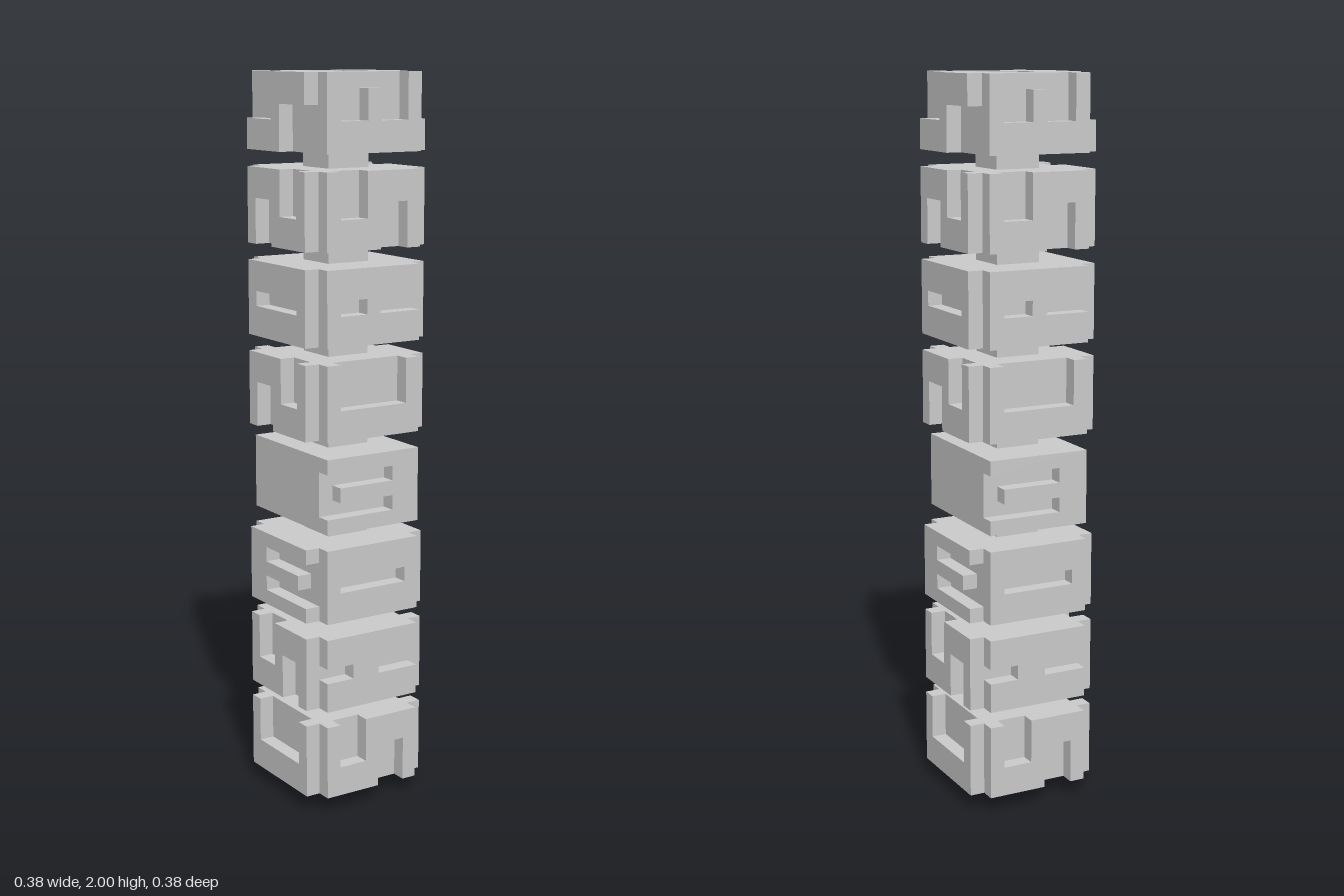
import * as THREE from 'three';

const U = 0.375 / 9;       // horizontal grid unit: relief depth and column width
const V = 0.041;           // row height, five rows per block
const PITCH = 0.25;        // block spacing
const BLOCK = 5 * V;
const NECK = PITCH - BLOCK;
const NECK_WIDTH = 0.126;

// Panel outlines on a grid: each point is a column digit (1-8) and a row digit (0-5)
const PANELS = {
  plainSlot: ['10 80 85 15', '22 72 73 23'],
  cup: ['10 80 85 75 72 22 25 15'],
  upDown: ['10 50 53 73 70 80 85 45 42 22 25 15'],
  downUp: ['10 20 23 43 40 80 85 75 72 52 55 15'],
  fork: ['10 80 85 75 72 52 54 44 42 22 25 15'],
  steps: ['10 50 53 83 85 35 33 43 42 12'],
  splitSlot: ['10 80 82 52 53 83 85 15', '22 42 43 23'],
  twinNotch: ['10 80 82 52 53 83 85 15 13 33 32 12'],
  leftComb: ['10 80 85 15 14 64 63 23 22 62 61 11'],
  rightComb: ['10 80 81 31 32 72 73 33 34 84 85 15'],
};

// Bottom to top: panel on front and back, panel on the two sides
const BLOCKS = [
  ['upDown', 'cup'],
  ['twinNotch', 'upDown'],
  ['plainSlot', 'rightComb'],
  ['leftComb', null],
  ['cup', 'downUp'],
  ['splitSlot', 'plainSlot'],
  ['upDown', 'downUp'],
  ['fork', 'steps'],
];

const material = new THREE.MeshStandardMaterial({ color: 0xcccccc, flatShading: true });

const toPoints = (text) => text.split(' ').map(
  (p) => new THREE.Vector2((Number(p[0]) - 4.5) * U, Number(p[1]) * V));

function panelGeometry(name) {
  const [outline, hole] = PANELS[name];
  const shape = new THREE.Shape(toPoints(outline));
  if (hole) shape.holes.push(new THREE.Path(toPoints(hole)));
  return new THREE.ExtrudeGeometry(shape, { depth: U, bevelEnabled: false })
    .translate(0, 0, 3.5 * U);
}

function addMesh(parent, name, geometry, y = 0, turn = 0) {
  const mesh = new THREE.Mesh(geometry, material);
  mesh.name = name;
  mesh.position.y = y;
  mesh.rotation.y = turn;
  parent.add(mesh);
}

const square = (w) => [[-1, -1], [1, -1], [1, 1], [-1, 1]].map(
  ([x, y]) => new THREE.Vector2(x * w / 2, y * w / 2));

// Box standing on its local y = 0
const box = (w, h) => new THREE.BoxGeometry(w, h, w).translate(0, h / 2, 0);

// Square ring around the socket in the top block
function socketRim() {
  const shape = new THREE.Shape(square(7 * U));
  shape.holes.push(new THREE.Path(square(NECK_WIDTH)));
  return new THREE.ExtrudeGeometry(shape, { depth: NECK, bevelEnabled: false })
    .rotateX(-Math.PI / 2);
}

export function createModel() {
  const tower = new THREE.Group();
  tower.name = 'blockTower';

  BLOCKS.forEach(([front, side], i) => {
    const block = new THREE.Group();
    block.name = `block${i + 1}`;
    block.position.y = i * PITCH;
    tower.add(block);

    // Neck below, then the core
    addMesh(block, 'neck', box(NECK_WIDTH, NECK));
    const isTop = i === BLOCKS.length - 1;
    addMesh(block, 'core', box(7 * U, isTop ? BLOCK - NECK : BLOCK), NECK);
    if (isTop) addMesh(block, 'socketRim', socketRim(), BLOCK);

    // Raised panels, repeated by half a turn
    const faces = [['frontPanel', front], ['rightPanel', side], ['backPanel', front], ['leftPanel', side]];
    faces.forEach(([name, panel], q) => {
      if (panel) addMesh(block, name, panelGeometry(panel), NECK, q * Math.PI / 2);
    });
  });

  return tower;
}
